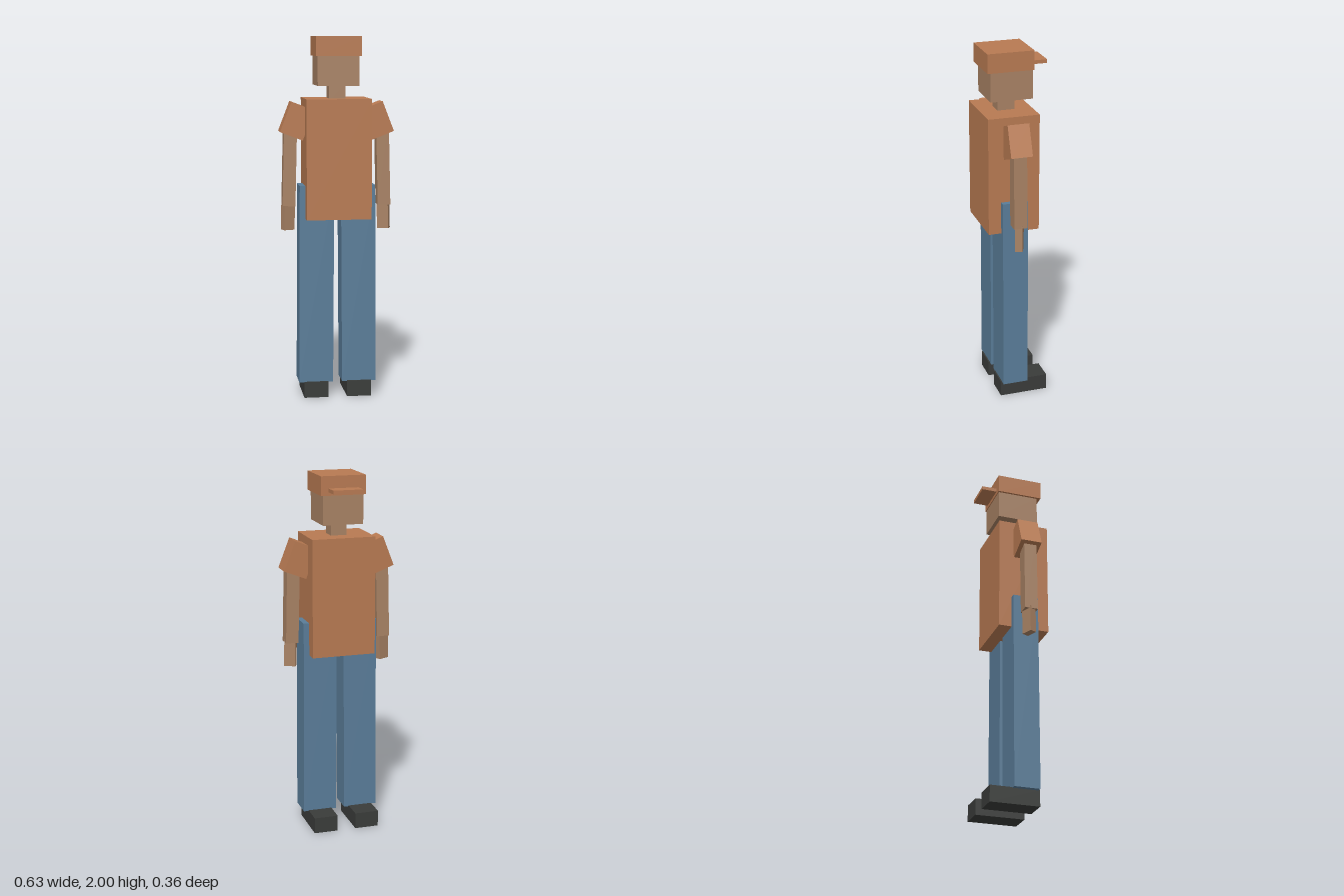
import * as THREE from 'three';

const material = (color) => new THREE.MeshStandardMaterial({ color, flatShading: true });

export function createModel() {
  const model = new THREE.Group();
  model.name = 'figure';

  const cloth = material(0xb87a52);
  const skin = material(0xa88264);
  const denim = material(0x5a7d99);
  const leather = material(0x3a3c3a);

  // Box given by its size and centre, added to the model
  function box(name, mat, [w, h, d], [x, y, z], turnY = 0, turnZ = 0) {
    const mesh = new THREE.Mesh(new THREE.BoxGeometry(w, h, d), mat);
    mesh.name = name;
    mesh.position.set(x, y, z);
    mesh.rotation.set(0, turnY, turnZ);
    model.add(mesh);
  }

  // Head and cap, with the brim pointing to -z
  box('cap', cloth, [0.25, 0.105, 0.258], [0, 1.9475, 0.034]);
  box('capBrim', cloth, [0.166, 0.02, 0.09], [0, 1.924, -0.135]);
  box('head', skin, [0.226, 0.165, 0.233], [0, 1.8175, 0.026]);
  box('neck', skin, [0.09, 0.09, 0.094], [0, 1.695, 0.037]);

  // Shirt
  box('torso', cloth, [0.356, 0.655, 0.286], [0, 1.3375, 0.035]);

  // Limbs, mirrored across x
  for (const [side, s] of [['left', 1], ['right', -1]]) {
    box(`${side}Sleeve`, cloth, [0.133, 0.175, 0.119], [s * 0.22, 1.543, 0.035], 0, s * 0.37);
    box(`${side}Arm`, skin, [0.071, 0.46, 0.073], [s * 0.259, 1.306, 0.036], 0, s * 0.025);
    box(`${side}Hand`, skin, [0.064, 0.15, 0.04], [s * 0.267, 1.016, 0.033], s * -0.42, s * 0.02);
    box(`${side}Leg`, denim, [0.19, 1.104, 0.143], [s * 0.117, 0.638, 0.036], 0, s * 0.006);
    box(`${side}Shoe`, leather, [0.135, 0.09, 0.274], [s * 0.12, 0.045, -0.022]);
  }

  return model;
}
